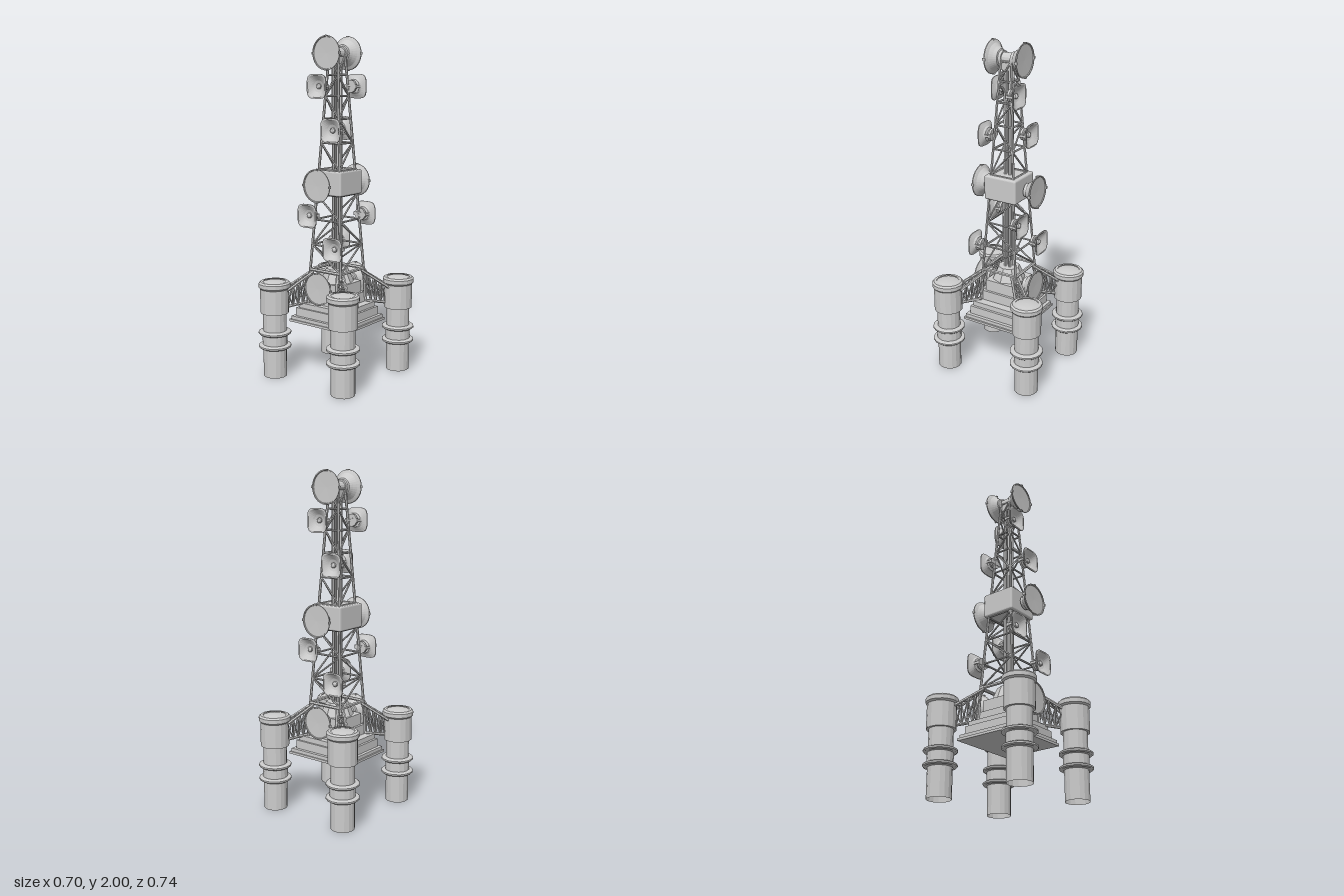
import * as THREE from 'three';
import { RoundedBoxGeometry } from 'three/addons/geometries/RoundedBoxGeometry.js';

const mat = new THREE.MeshStandardMaterial({ color: 0xcccccc, flatShading: true });
const thin = new THREE.MeshStandardMaterial({ color: 0xcccccc, flatShading: true, side: THREE.DoubleSide });
const smooth = new THREE.MeshStandardMaterial({ color: 0xcccccc });
const V = (x, y, z) => new THREE.Vector3(x, y, z);

function add(parent, name, geo, x = 0, y = 0, z = 0, m = mat) {
  const mesh = new THREE.Mesh(geo, m);
  mesh.name = name;
  mesh.position.set(x, y, z);
  parent.add(mesh);
  return mesh;
}

function group(parent, name) {
  const g = new THREE.Group();
  g.name = name;
  parent.add(g);
  return g;
}

// Straight bar between two points
function beam(parent, name, a, b, r) {
  const mesh = add(parent, name, new THREE.CylinderGeometry(r, r, a.distanceTo(b), 6));
  mesh.position.copy(a).add(b).multiplyScalar(0.5);
  mesh.quaternion.setFromUnitVectors(V(0, 1, 0), b.clone().sub(a).normalize());
}

// Lathe from [radius, height] pairs
const lathe = (pts, n) => new THREE.LatheGeometry(pts.map(p => new THREE.Vector2(...p)), n);

// Supporting pylon with stepped sleeve, collars and a shallow domed cap
function pylon(parent, x, z) {
  const g = group(parent, 'pylon');
  g.position.set(x, 0, z);
  add(g, 'pylonShaft', lathe([
    [0.070, 0], [0.070, 0.18], [0.074, 0.18], [0.074, 0.28], [0.070, 0.28], [0.070, 0.39],
    [0.085, 0.39], [0.085, 0.535], [0.094, 0.545], [0.094, 0.568], [0.084, 0.578], [0.068, 0.578],
  ], 16), 0, 0, 0, thin);
  add(g, 'pylonCap', lathe([[0.068, 0.574], [0.05, 0.579], [0.025, 0.582], [0, 0.583]], 24), 0, 0, 0, smooth);
  for (const y of [0.185, 0.268])
    add(g, 'pylonCollar', lathe([
      [0.072, -0.013], [0.09, -0.01], [0.097, -0.004], [0.097, 0.005], [0.09, 0.01], [0.072, 0.013],
    ], 16), 0, y, 0);
}

// Round covered dish, rim facing +z at the group's origin
function bigDish(parent, y, z, dir) {
  const g = group(parent, 'bigDish');
  g.position.set(0, y, z * dir);
  if (dir < 0) g.rotation.y = Math.PI;
  const body = add(g, 'dishBody', lathe([
    [0, -0.075], [0.042, -0.075], [0.042, -0.058], [0.05, -0.055], [0.062, -0.036],
    [0.078, -0.018], [0.093, -0.01], [0.097, -0.006], [0.097, 0], [0.091, 0], [0.089, -0.005], [0, -0.007],
  ], 32), 0, 0, 0, thin);
  body.rotation.x = Math.PI / 2;
  for (let i = 0; i < 4; i++) {
    const a = i * Math.PI / 2;
    const clip = add(g, 'rimClip', new THREE.BoxGeometry(0.008, 0.014, 0.018),
      Math.cos(a) * 0.095, Math.sin(a) * 0.095, -0.004);
    clip.rotation.z = a;
  }
}

// Rounded-square horn with a centre dome, mouth facing +z
const hornGeo = lathe([
  [0, -0.062], [0.036, -0.062], [0.036, -0.048], [0.024, -0.045], [0.024, -0.034], [0.04, -0.03],
  [0.046, -0.02], [0.058, -0.012], [0.07, -0.006], [0.07, 0], [0.062, 0], [0.05, -0.01],
  [0.034, -0.022], [0.016, -0.028], [0.015, -0.02], [0.009, -0.014], [0, -0.012],
], 32);
{
  const p = hornGeo.attributes.position;
  for (let i = 0; i < p.count; i++) {
    const x = p.getX(i), z = p.getZ(i), r = Math.hypot(x, z);
    if (r < 0.041) continue;
    // Push the mouth outline towards a square, more strongly at the rim
    const q = Math.pow((x / r) ** 4 + (z / r) ** 4, -0.25);
    const k = 1 + (q - 1) * Math.min(1, (r - 0.04) / 0.02);
    p.setX(i, x * k);
    p.setZ(i, z * k);
  }
  hornGeo.computeVertexNormals();
}
function horn(parent, x, y, z) {
  const dir = Math.sign(z);
  const g = group(parent, 'hornSpeaker');
  g.position.set(x, y, z);
  if (dir < 0) g.rotation.y = Math.PI;
  add(g, 'hornBody', hornGeo, 0, 0, 0, thin).rotation.x = Math.PI / 2;
  // Yoke and arm back to the tower
  for (const s of [-1, 1])
    add(g, 'hornYoke', new THREE.BoxGeometry(0.006, 0.014, 0.036), s * 0.04, 0, -0.038);
  add(g, 'hornMount', new THREE.BoxGeometry(0.086, 0.022, 0.01), 0, 0, -0.06);
  const h = half(y);
  beam(parent, 'hornArm', V(x, y, z - dir * 0.06), V(Math.sign(x) * h, y, dir * h), 0.007);
}

// Half width of the tapering tower at height y
const half = y => 0.113 - (y - 0.64) * 0.064;

export function createModel() {
  const model = new THREE.Group();
  model.name = 'speakerTower';

  // Four pylons
  for (const x of [-0.255, 0.255]) for (const z of [-0.275, 0.275]) pylon(model, x, z);

  // Stepped base: [name, width, height, depth, bottom]
  const base = group(model, 'base');
  for (const [name, w, h, d, y] of [
    ['basePlate', 0.43, 0.014, 0.38, 0.32], ['basePlateStep', 0.41, 0.02, 0.365, 0.334],
    ['baseBlock', 0.37, 0.05, 0.325, 0.354], ['baseLip', 0.34, 0.03, 0.30, 0.404],
    ['plinth', 0.24, 0.06, 0.235, 0.434], ['plinthTop', 0.21, 0.07, 0.20, 0.494],
  ]) add(base, name, new THREE.BoxGeometry(w, h, d), 0, y + h / 2, 0);
  add(base, 'plinthDome', new THREE.CylinderGeometry(0.065, 0.1, 0.08, 8), 0, 0.604, 0);

  // Trusses from the tower foot to each pylon
  const trusses = group(model, 'trusses');
  for (const sx of [-1, 1]) for (const sz of [-1, 1]) {
    const P = (x, y, z) => V(sx * x, y, sz * z);
    const chords = [
      [P(0.09, 0.63, 0.113), P(0.185, 0.52, 0.25)],
      [P(0.115, 0.63, 0.09), P(0.24, 0.52, 0.20)],
      [P(0.13, 0.44, 0.12), P(0.20, 0.42, 0.215)],
    ];
    for (const [a, b] of chords) beam(trusses, 'trussChord', a, b, 0.009);
    for (let i = 0; i < 3; i++) {
      const [a, b] = chords[i], [c, d] = chords[(i + 1) % 3];
      for (let j = 0; j < 4; j++) {
        const p = a.clone().lerp(b, j / 4), q = c.clone().lerp(d, j / 4);
        const r = c.clone().lerp(d, (j + 1) / 4);
        beam(trusses, 'trussBrace', p, r, 0.005);
        if (j) beam(trusses, 'trussBrace', p, q, 0.005);
      }
    }
    beam(trusses, 'towerFoot', P(0.122, 0.43, 0.122), P(0.113, 0.64, 0.113), 0.009);
  }

  // Lattice tower: four legs, level frames and zigzag bracing
  const tower = group(model, 'latticeTower');
  const levels = [0.64, 0.79, 0.94, 1.09, 1.235, 1.39, 1.53, 1.66, 1.78, 1.89];
  const corner = (i, y) => {
    const a = (i + 0.5) * Math.PI / 2, h = half(y) * Math.SQRT2;
    return V(Math.cos(a) * h, y, Math.sin(a) * h);
  };
  for (let i = 0; i < 4; i++) {
    beam(tower, 'towerLeg', corner(i, 0.64), corner(i, 1.9), 0.008);
    levels.forEach((y, k) => {
      beam(tower, 'towerRail', corner(i, y), corner(i + 1, y), k ? 0.006 : 0.01);
      if (k === levels.length - 1) return;
      const flip = (k + i) % 2;
      beam(tower, 'towerBrace', corner(i + flip, y), corner(i + 1 - flip, levels[k + 1]), 0.0055);
    });
  }

  // Bundle of poles up the middle
  for (const x of [-0.015, 0.015]) for (const z of [-0.015, 0.015])
    beam(tower, 'mastPole', V(x, 0.6, z), V(x, 1.89, z), 0.01);

  // Equipment box half way up
  add(model, 'equipmentBox', new RoundedBoxGeometry(0.21, 0.145, 0.21, 2, 0.01), 0, 1.162, 0);

  // Big dishes in front and back pairs, with the hub for the top pair
  for (const dir of [-1, 1]) {
    bigDish(model, 1.902, 0.105, dir);
    bigDish(model, 1.155, 0.195, dir);
    bigDish(model, 0.55, 0.19, dir);
  }
  add(model, 'topHub', new THREE.CylinderGeometry(0.035, 0.035, 0.08, 16), 0, 1.9, 0).rotation.x = Math.PI / 2;
  add(model, 'topBlock', new THREE.BoxGeometry(0.06, 0.06, 0.06), 0, 1.87, 0);

  // Horn speakers, staggered front and back
  for (const [x, y, z] of [[-0.062, 1.715, 0.115], [0.052, 1.468, 0.132], [-0.1, 0.968, 0.16], [0.1, 0.793, 0.178]]) {
    horn(model, x, y, z);
    horn(model, -x, y, -z + 0.008);
  }
  return model;
}
